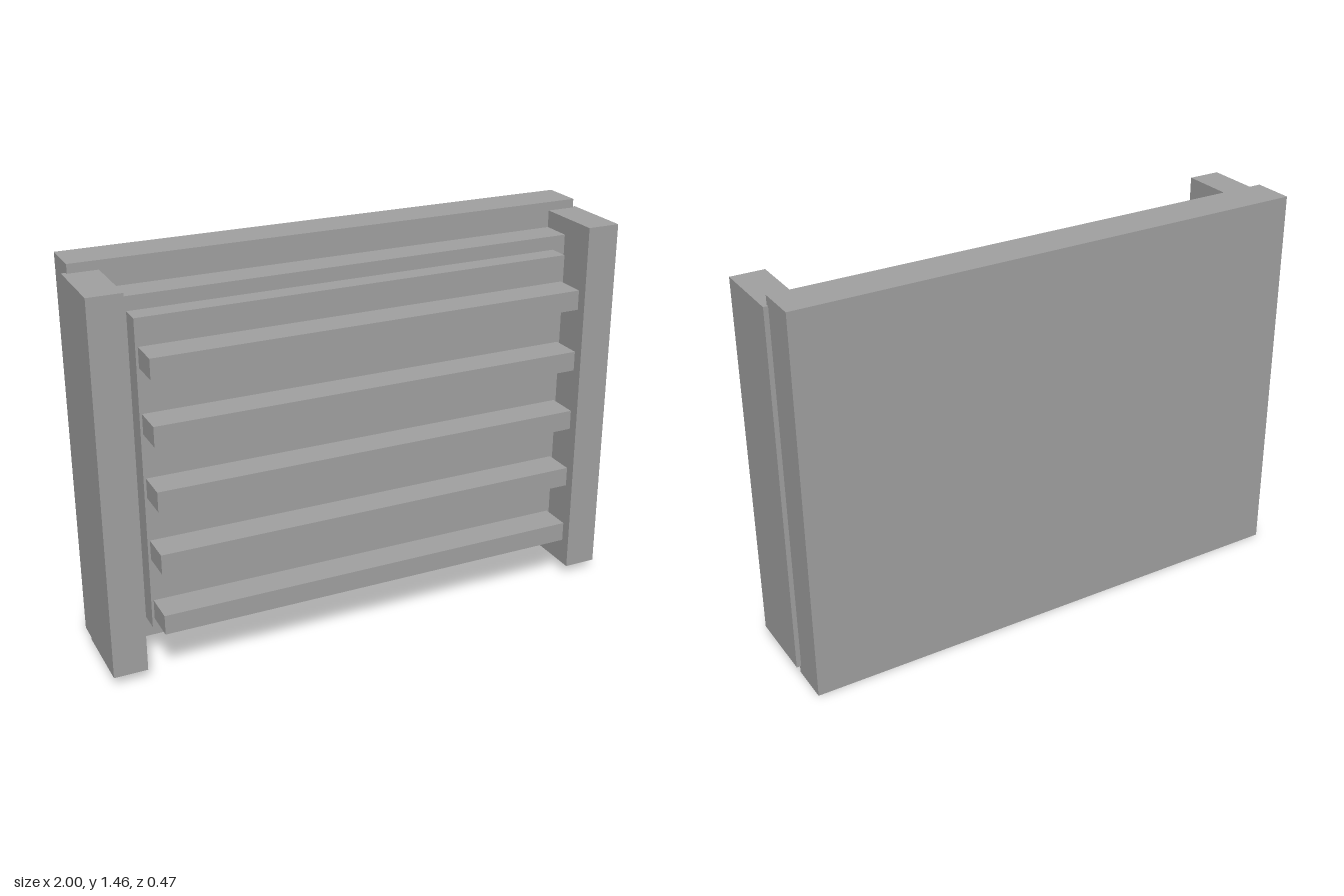
import * as THREE from 'three';

export function createModel() {
  const group = new THREE.Group();
  const grey = new THREE.MeshStandardMaterial({ color: 0xa0a0a0 });
  grey.name = 'grey';

  // Adds a box given by its lower and upper corners.
  function block(name, [x0, y0, z0], [x1, y1, z1]) {
    const mesh = new THREE.Mesh(new THREE.BoxGeometry(x1 - x0, y1 - y0, z1 - z0), grey);
    mesh.position.set((x0 + x1) / 2, (y0 + y1) / 2, (z0 + z1) / 2);
    mesh.name = name;
    group.add(mesh);
  }

  // Stepped panels, from the back to the front
  block('backPanel', [-0.983, 0, -0.235], [0.983, 1.463, -0.08]);
  block('middlePanel', [-0.876, 0.1, -0.08], [0.876, 1.366, 0.037]);
  block('frontPanel', [-0.826, 0.154, 0.037], [0.826, 1.314, 0.115]);

  // Side posts
  block('leftPost', [0.875, 0.035, -0.092], [1, 1.43, 0.192]);
  block('rightPost', [-1, 0.035, -0.092], [-0.875, 1.43, 0.192]);

  // Horizontal slats
  for (let i = 0; i < 5; i++) {
    const y = 0.188 + i * 0.238;
    block(`slat${i + 1}`, [-0.817, y, 0.115], [0.817, y + 0.074, 0.235]);
  }

  return group;
}
